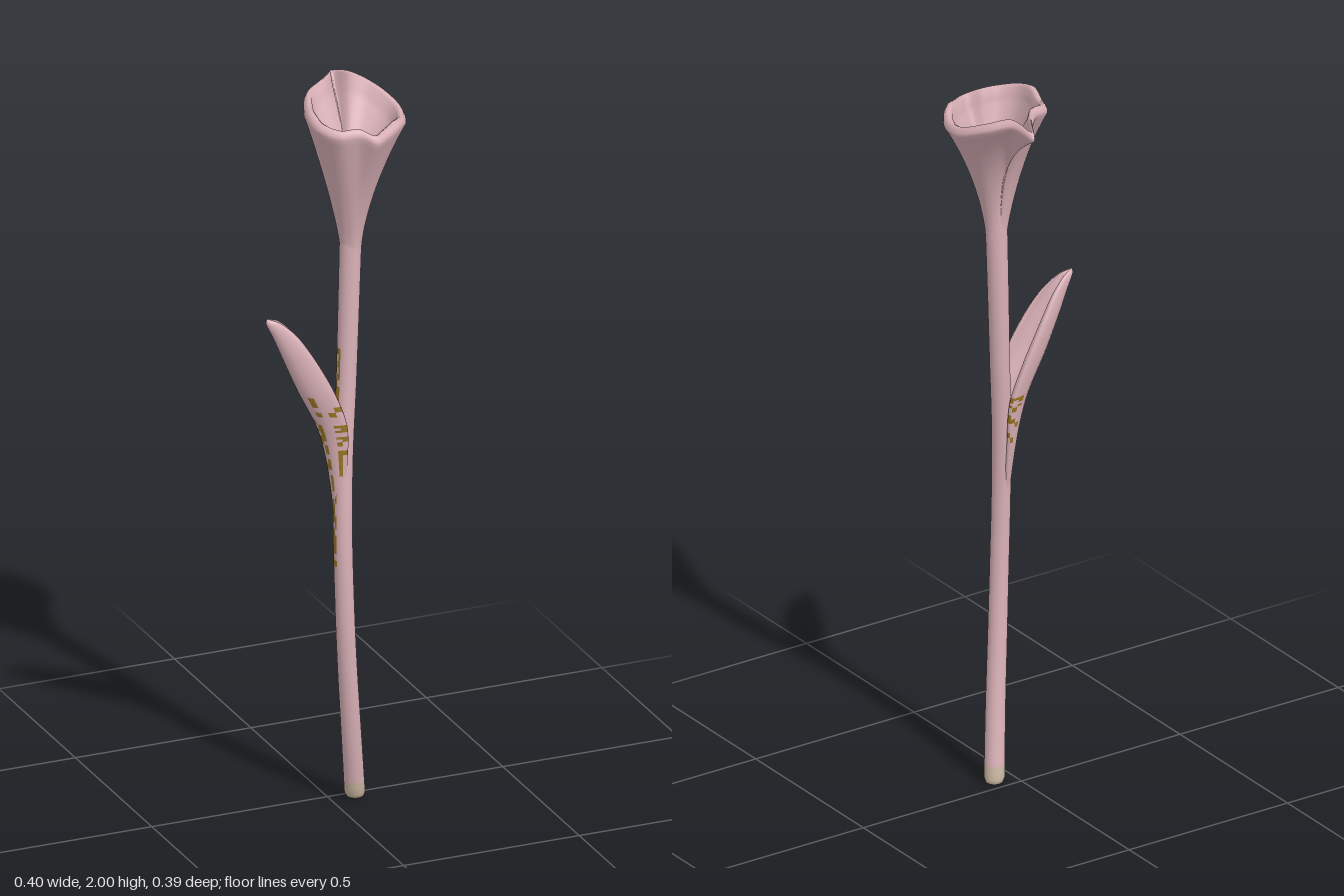
import * as THREE from 'three';

const V = (x, y, z) => new THREE.Vector3(x, y, z);
const curve = (pts, closed = false) =>
  new THREE.CatmullRomCurve3(pts.map(p => V(...p)), closed, 'centripetal');

function material(name, color) {
  const m = new THREE.MeshStandardMaterial({ color });
  m.name = name;
  return m;
}

// Repeatable noise for the scattered ochre flecks
const noise = (a, b) => {
  const s = Math.sin(a * 127.1 + b * 311.7) * 43758.5453;
  return s - Math.floor(s);
};

// Skins a stack of closed rings; pick(centre, row, column) chooses a material index
function loft(name, rings, materials, pick = () => 0) {
  const n = rings[0].length;
  const groups = materials.map(() => []);
  for (let i = 0; i < rings.length - 1; i++) {
    for (let j = 0; j < n; j++) {
      const k = (j + 1) % n;
      const a = i * n + j, b = i * n + k, c = a + n, d = b + n;
      const mid = rings[i][j].clone().add(rings[i + 1][k]).multiplyScalar(0.5);
      groups[pick(mid, i, j)].push(a, c, b, b, c, d);
    }
  }
  const geo = new THREE.BufferGeometry().setFromPoints(rings.flat());
  geo.setIndex(groups.flat());
  let start = 0;
  groups.forEach((g, i) => {
    geo.addGroup(start, g.length, i);
    start += g.length;
  });
  geo.computeVertexNormals();
  const mesh = new THREE.Mesh(geo, materials);
  mesh.name = name;
  return mesh;
}

const circle = (c, r, n) => Array.from({ length: n }, (_, j) => {
  const a = (j / n) * Math.PI * 2;
  return V(c.x + r * Math.cos(a), c.y, c.z + r * Math.sin(a));
});

// Gently bowed stem with rounded foot
function makeStem(materials) {
  const path = curve([
    [0.066, 0, 0.03], [0.042, 0.2, 0.06], [0.022, 0.4, 0.08], [0.01, 0.6, 0.089],
    [0.006, 0.8, 0.087], [0.013, 1, 0.075], [0.027, 1.2, 0.062],
    [0.036, 1.4, 0.056], [0.043, 1.62, 0.055],
  ]);
  const rings = [];
  for (const [dy, r] of [[0, 0.0005], [0.001, 0.014], [0.006, 0.023]]) {
    rings.push(circle(path.getPoint(0).setY(dy), r, 28));
  }
  const rows = 90;
  for (let i = 1; i <= rows; i++) {
    const t = i / rows;
    const r = 0.0275 - 0.003 * Math.sin(Math.PI * t) + 0.002 * t;
    rings.push(circle(path.getPoint(t), r, 28));
  }
  return loft('stem', rings, materials, (p, i, j) => {
    if (p.y < 0.05) return 2;
    const side = Math.abs(j - 13.5) < 2;
    return side && p.y > 0.7 && p.y < 1.3 && noise(i, j) > 0.45 ? 1 : 0;
  });
}

// Cupped leaf: a U-shaped section swept from the stem to the tip
function makeLeaf(materials) {
  const spine = curve([
    [-0.012, 0.78, 0.086], [-0.027, 0.95, 0.073], [-0.048, 1.05, 0.07], [-0.066, 1.1, 0.07],
    [-0.115, 1.2, 0.068], [-0.157, 1.3, 0.063], [-0.182, 1.36, 0.06],
    [-0.2, 1.4, 0.058], [-0.198, 1.412, 0.058],
  ]);
  // x of the leaf margins, height, half width
  const margin = curve([
    [0.004, 0.78, 0.018], [0.01, 0.95, 0.031], [0.012, 1.05, 0.04], [0.006, 1.1, 0.045],
    [-0.032, 1.2, 0.05], [-0.085, 1.3, 0.042], [-0.125, 1.36, 0.029],
    [-0.167, 1.4, 0.014], [-0.194, 1.412, 0.001],
  ]);
  const half = 12, rows = 56, rings = [];
  for (let i = 0; i <= rows; i++) {
    const s = spine.getPoint(i / rows), e = margin.getPoint(i / rows);
    const depth = e.x - s.x, ring = [];
    const thick = Math.min(0.022, depth * 0.6);
    for (let j = 0; j <= half; j++) {
      const a = Math.PI * (0.5 - j / half);
      ring.push(V(e.x - depth * Math.cos(a), s.y, s.z + e.z * Math.sin(a)));
    }
    for (let j = 0; j <= half; j++) {
      const a = Math.PI * (j / half - 0.5);
      ring.push(V(e.x + 0.004 * Math.min(1, e.z * 40) - (depth - thick) * Math.cos(a),
        s.y, s.z + e.z * 0.76 * Math.sin(a)));
    }
    rings.push(ring);
  }
  return loft('leaf', rings, materials, (p, i, j) => {
    const keel = Math.abs(j - 5.5) < 1.6 && p.y > 0.78 && p.y < 1.13;
    const edge = (j < 2 || (j > 9 && j < 14) || j > 23) && p.y > 0.95 && p.y < 1.11;
    const fleck = j < 4 && p.y > 1.12 && p.y < 1.18;
    const n = noise(i, j);
    return (keel && n > 0.4) || (edge && n > 0.6) || (fleck && n > 0.7) ? 1 : 0;
  });
}

// Trumpet-shaped bloom: flares from the stem to a wavy pointed rim, then folds inside
function makeBloom(materials) {
  const rim = curve([
    [0.093, 1.967, -0.195], [0.118, 1.985, -0.134], [0.168, 1.965, -0.08], [0.203, 1.935, 0],
    [0.19, 1.928, 0.08], [0.148, 1.938, 0.14], [0.1, 1.93, 0.173], [0.06, 1.926, 0.193],
    [0.02, 1.942, 0.17], [-0.034, 1.942, 0.16], [-0.075, 1.953, 0.116], [-0.082, 1.965, 0.054],
    [-0.06, 1.958, -0.018], [-0.029, 1.972, -0.077], [0.029, 1.986, -0.11], [0.068, 1.982, -0.152],
  ], true).getPoints(96).slice(0, 96);
  const cx = 0.043, cz = 0.055, y0 = 1.57, r0 = 0.028;

  const ringAt = (t, inset, lift) => rim.map(p => {
    const dx = p.x - cx, dz = p.z - cz, R = Math.hypot(dx, dz);
    const power = THREE.MathUtils.clamp(1.4 + 14 * (R - 0.13), 1.2, 3);
    const r = Math.max(0.001, r0 + (R - r0) * Math.pow(t, power) - inset);
    return V(cx + dx / R * r, y0 + (p.y - 0.012 - y0) * t + lift, cz + dz / R * r);
  });

  const rings = [];
  for (let i = 0; i <= 22; i++) rings.push(ringAt(i / 22, 0, 0));
  // Rolled lip
  rings.push(ringAt(1, 0.001, 0.009), ringAt(1, 0.006, 0.019),
    ringAt(1, 0.015, 0.023), ringAt(1, 0.025, 0.017));
  for (let i = 21; i >= 8; i--) rings.push(ringAt(i / 22, 0.022, 0.008));
  rings.push(ringAt(8 / 22, 0.2, 0.002));
  return loft('bloom', rings, materials);
}

// Small spadix standing inside the bloom
function makeSpadix(mat) {
  const profile = [[0.018, 0], [0.025, 0.06], [0.027, 0.14], [0.024, 0.18], [0.014, 0.201], [0, 0.207]]
    .map(p => new THREE.Vector2(...p));
  const smooth = new THREE.SplineCurve(profile).getPoints(24);
  smooth.forEach(p => { p.x = Math.max(0, p.x); });
  const mesh = new THREE.Mesh(new THREE.LatheGeometry(smooth, 24), mat);
  mesh.position.set(0.043, 1.69, 0.055);
  mesh.rotation.set(-0.03, 0, -0.04);
  mesh.name = 'spadix';
  return mesh;
}

export function createModel() {
  const pink = material('dusty pink', 0xd9b1b7);
  const ochre = material('ochre', 0x9a7626);
  const beige = material('beige', 0xc9b5a0);

  const flower = new THREE.Group();
  flower.name = 'flower';
  flower.add(
    makeStem([pink, ochre, beige]),
    makeLeaf([pink, ochre]),
    makeBloom([pink]),
    makeSpadix(pink),
  );
  return flower;
}
